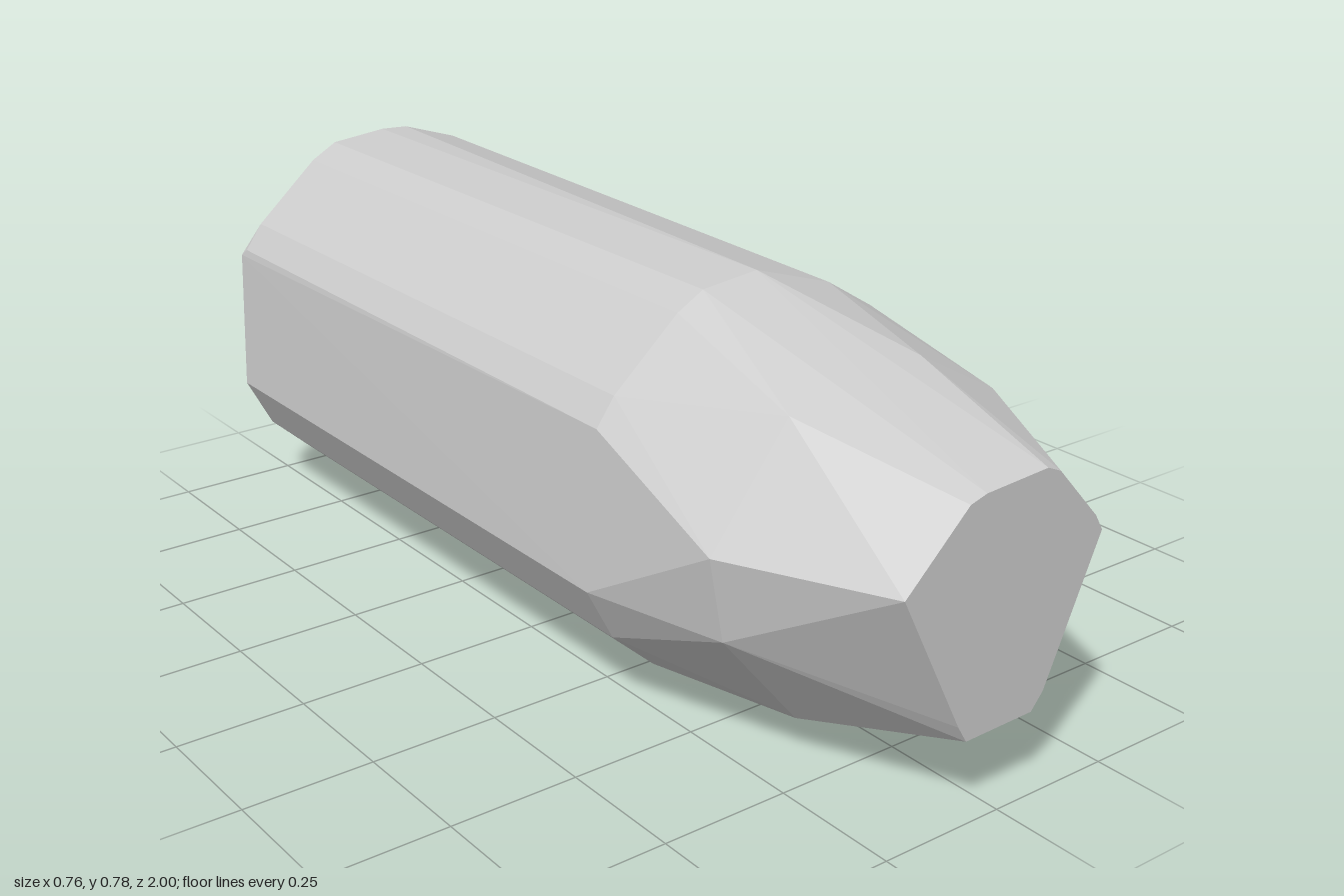
import * as THREE from 'three';
import { ConvexGeometry } from 'three/addons/geometries/ConvexGeometry.js';

// Cross-sections as [x, y] corners at one depth z
const section = (z, corners) => corners.map(([x, y]) => new THREE.Vector3(x, y, z));

export function createModel() {
  const group = new THREE.Group();
  const material = new THREE.MeshStandardMaterial({ color: 0xcccccc, flatShading: true });

  // Flat front end
  const nose = section(1, [
    [-0.24, 0.46], [-0.11, 0.585], [-0.075, 0.595], [0.06, 0.603], [0.09, 0.59], [0.185, 0.487],
    [0.203, 0.457], [0.09, 0.195], [0.065, 0.165], [-0.085, 0.162], [-0.105, 0.195],
  ]);

  // Shoulder halfway along the taper
  const shoulder = section(0.68, [
    [-0.36, 0.443], [-0.2, 0.65], [0.09, 0.69], [0.27, 0.59],
    [0.215, 0.165], [-0.165, 0.085], [-0.33, 0.283],
  ]);

  // Sides shared by the whole straight body
  const sides = [
    [-0.235, 0.078], [-0.325, 0.16], [-0.38, 0.265], [-0.357, 0.565], [-0.32, 0.617],
    [-0.185, 0.737], [-0.13, 0.768], [-0.01, 0.78],
  ];
  const bodyFront = section(0.37, [
    ...sides, [0.16, 0.725], [0.265, 0.66], [0.335, 0.565], [0.38, 0.39], [0.36, 0.265],
    [0.335, 0.215], [0.265, 0.11], [0.055, 0.005], [-0.07, 0.003], [-0.13, 0.017],
  ]);

  // Lower edge starts to rise towards the rear
  const bodyRear = section(-0.6, [
    [0.38, 0.39], [0.36, 0.265], [0.265, 0.115], [0.055, 0.01], [-0.07, 0.008], [-0.13, 0.02],
  ]);
  const rim = section(-0.91, [
    ...sides, [0.05, 0.777], [0.17, 0.738], [0.265, 0.66], [0.335, 0.565], [0.357, 0.5],
    [0.355, 0.27], [0.12, 0.05],
  ]);

  // Slanted rear face, rising to a corner
  const cap = section(-0.93, [[-0.36, 0.55], [-0.3, 0.31]]);
  const corner = section(-1, [[0.33, 0.245]]);

  const body = new THREE.Mesh(
    new ConvexGeometry([...nose, ...shoulder, ...bodyFront, ...bodyRear, ...rim, ...cap, ...corner]),
    material
  );
  body.name = 'facetedBody';
  group.add(body);
  return group;
}
